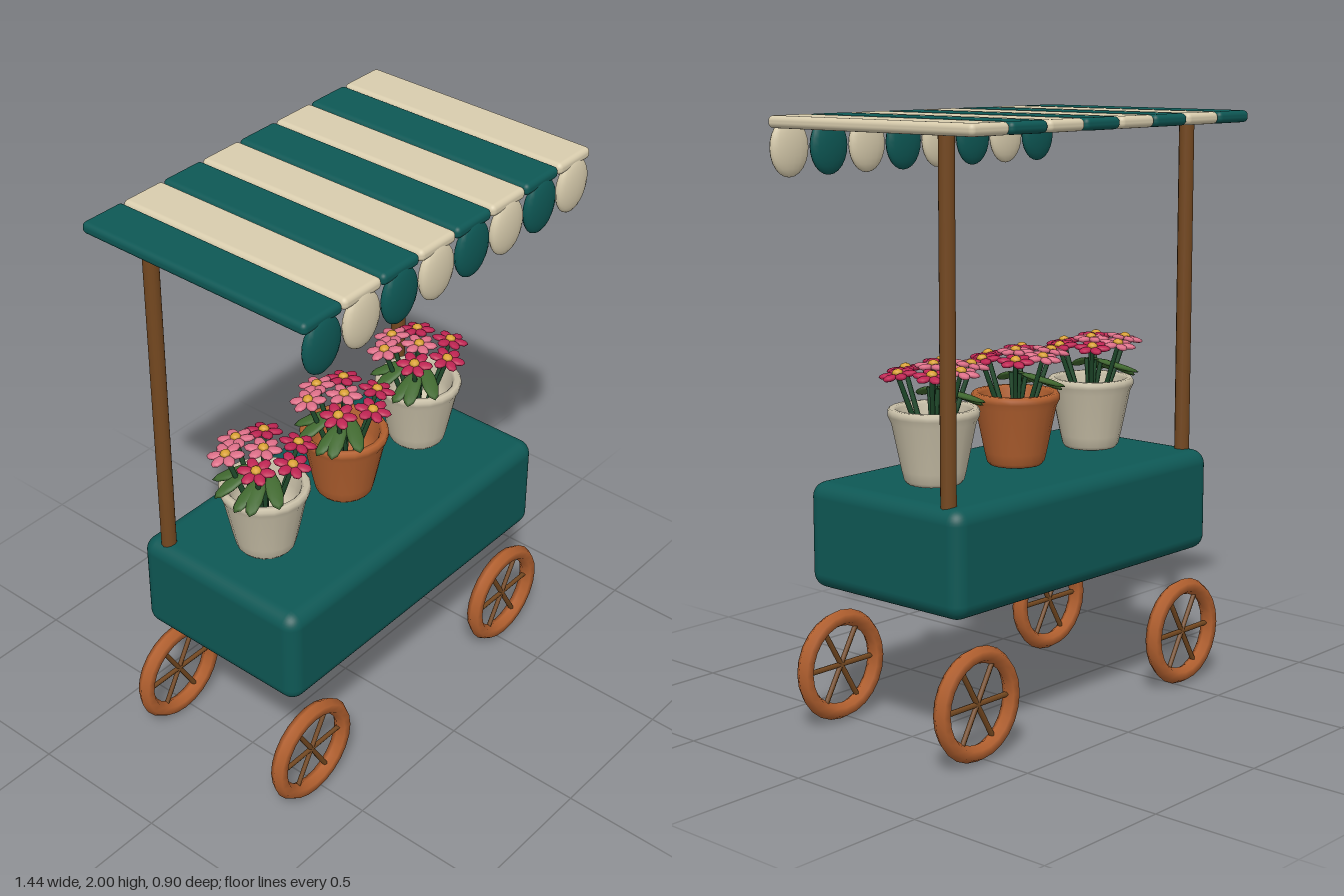
import * as THREE from 'three';
import { RoundedBoxGeometry } from 'three/addons/geometries/RoundedBoxGeometry.js';

const mat = (name, color, side = THREE.FrontSide) => {
  const m = new THREE.MeshStandardMaterial({ color, side });
  m.name = name;
  return m;
};

export function createModel() {
  const teal = mat('teal', 0x0e5855);
  const cream = mat('cream', 0xd9cdae);
  const stone = mat('stone', 0xc9c0a8);
  const terracotta = mat('terracotta', 0xb2602f);
  const wood = mat('wood', 0x744820);
  const crimson = mat('crimson', 0xbd2452);
  const pink = mat('pink', 0xdd6f88);
  const gold = mat('gold', 0xd9a032);
  const stemGreen = mat('stem green', 0x1f4a2b);
  const leafGreen = mat('leaf green', 0x40682f);

  const model = new THREE.Group();
  model.name = 'flowerCart';

  const add = (parent, name, geo, material, x = 0, y = 0, z = 0) => {
    const mesh = new THREE.Mesh(geo, material);
    mesh.name = name;
    mesh.position.set(x, y, z);
    parent.add(mesh);
    return mesh;
  };
  const group = (parent, name, x = 0, y = 0, z = 0) => {
    const g = new THREE.Group();
    g.name = name;
    g.position.set(x, y, z);
    parent.add(g);
    return g;
  };

  // Cart body
  add(model, 'body', new RoundedBoxGeometry(1.286, 0.353, 0.67, 4, 0.05), teal, -0.002, 0.652, -0.005);

  // Wheels with three crossing spoke bars each
  const rimGeo = new THREE.TorusGeometry(0.16, 0.028, 6, 24);
  const spokeGeo = new THREE.CylinderGeometry(0.009, 0.009, 0.3, 6);
  for (const x of [-0.532, 0.528]) {
    for (const z of [0.302, -0.314]) {
      const wheel = group(model, 'wheel', x, 0.19, z);
      add(wheel, 'rim', rimGeo, terracotta);
      for (let i = 0; i < 3; i++) {
        add(wheel, 'spoke', spokeGeo, wood).rotation.z = Math.PI / 2 + i * Math.PI / 3;
      }
    }
  }

  // Awning posts
  const postGeo = new THREE.CylinderGeometry(0.026, 0.026, 1.16, 12);
  for (const x of [-0.595, 0.59]) add(model, 'post', postGeo, wood, x, 1.39, -0.255);

  // Striped awning with a scallop hanging from each stripe
  const stripeGeo = new RoundedBoxGeometry(0.168, 0.04, 0.885, 3, 0.017);
  const scallopGeo = new THREE.SphereGeometry(1, 16, 12).scale(0.081, 0.095, 0.025);
  for (let i = 0; i < 8; i++) {
    const x = -0.604 + i * 0.1722;
    const material = i % 2 ? cream : teal;
    add(model, 'awningStripe', stripeGeo, material, x, 1.98, -0.006);
    add(model, 'scallop', scallopGeo, material, x, 1.896, 0.425);
  }

  // Hollow pot profile, from outer base over the rim to the inner floor
  const potGeo = new THREE.LatheGeometry([
    [0, 0], [0.088, 0], [0.098, 0.012], [0.106, 0.045], [0.138, 0.2], [0.149, 0.222],
    [0.15, 0.236], [0.143, 0.246], [0.128, 0.246], [0.12, 0.236], [0.112, 0.18],
    [0.095, 0.11], [0, 0.11],
  ].map(([r, y]) => new THREE.Vector2(r, y)), 20);

  // Plant pieces
  const petalGeo = new THREE.SphereGeometry(1, 8, 6).scale(0.028, 0.01, 0.019).translate(0.036, 0, 0);
  const centreGeo = new THREE.SphereGeometry(1, 8, 6).scale(0.018, 0.013, 0.018);
  const leafGeo = new THREE.SphereGeometry(1, 10, 6).scale(0.08, 0.01, 0.028).translate(0.08, 0, 0);
  const up = new THREE.Vector3(0, 1, 0);

  const addStem = (plant, from, to) => {
    const dir = to.clone().sub(from);
    const geo = new THREE.CylinderGeometry(0.008, 0.01, dir.length(), 6);
    const stem = add(plant, 'stem', geo, stemGreen);
    stem.position.copy(from).lerp(to, 0.5);
    stem.quaternion.setFromUnitVectors(up, dir.normalize());
  };

  // Flower heads: x, height above the pot base, z, colour
  const flowers = [
    [-0.1, 0.375, 0.06, crimson], [0.015, 0.36, 0.11, crimson], [0.115, 0.36, 0.045, crimson],
    [0.0, 0.38, 0.0, pink], [-0.1, 0.378, -0.07, pink],
    [0.09, 0.365, -0.08, crimson], [-0.005, 0.37, -0.115, pink],
  ];
  // Leaves: yaw, droop, base x, base z
  const leaves = [
    [Math.PI, -0.42, -0.03, 0.03], [Math.PI - 0.3, -0.45, -0.02, -0.03],
    [Math.PI + 0.45, -0.4, -0.03, 0.02], [Math.PI - 0.75, -0.3, 0.0, -0.02],
    [Math.PI + 0.95, -0.3, 0.0, 0.02],
  ];

  [[-0.397, stone], [-0.002, terracotta], [0.392, stone]].forEach(([x, potColour]) => {
    const planter = group(model, 'planter', x, 0.833, -0.004);
    add(planter, 'pot', potGeo, potColour);

    for (const [fx, fy, fz, colour] of flowers) {
      addStem(planter, new THREE.Vector3(fx * 0.25, 0.11, fz * 0.25), new THREE.Vector3(fx, fy - 0.005, fz));
      const head = group(planter, 'flower', fx, fy, fz);
      head.rotation.set(fz * 1.6, 0, -fx * 1.6);
      for (let i = 0; i < 6; i++) add(head, 'petal', petalGeo, colour).rotation.y = i * Math.PI / 3;
      add(head, 'flowerCentre', centreGeo, gold, 0, 0.007, 0);
    }
    for (const [yaw, droop, lx, lz] of leaves) {
      const leaf = add(planter, 'leaf', leafGeo, leafGreen, lx, 0.308, lz);
      leaf.rotation.set(0, yaw, droop, 'YXZ');
      addStem(planter, new THREE.Vector3(0, 0.11, 0), leaf.position);
    }
  });

  return model;
}
